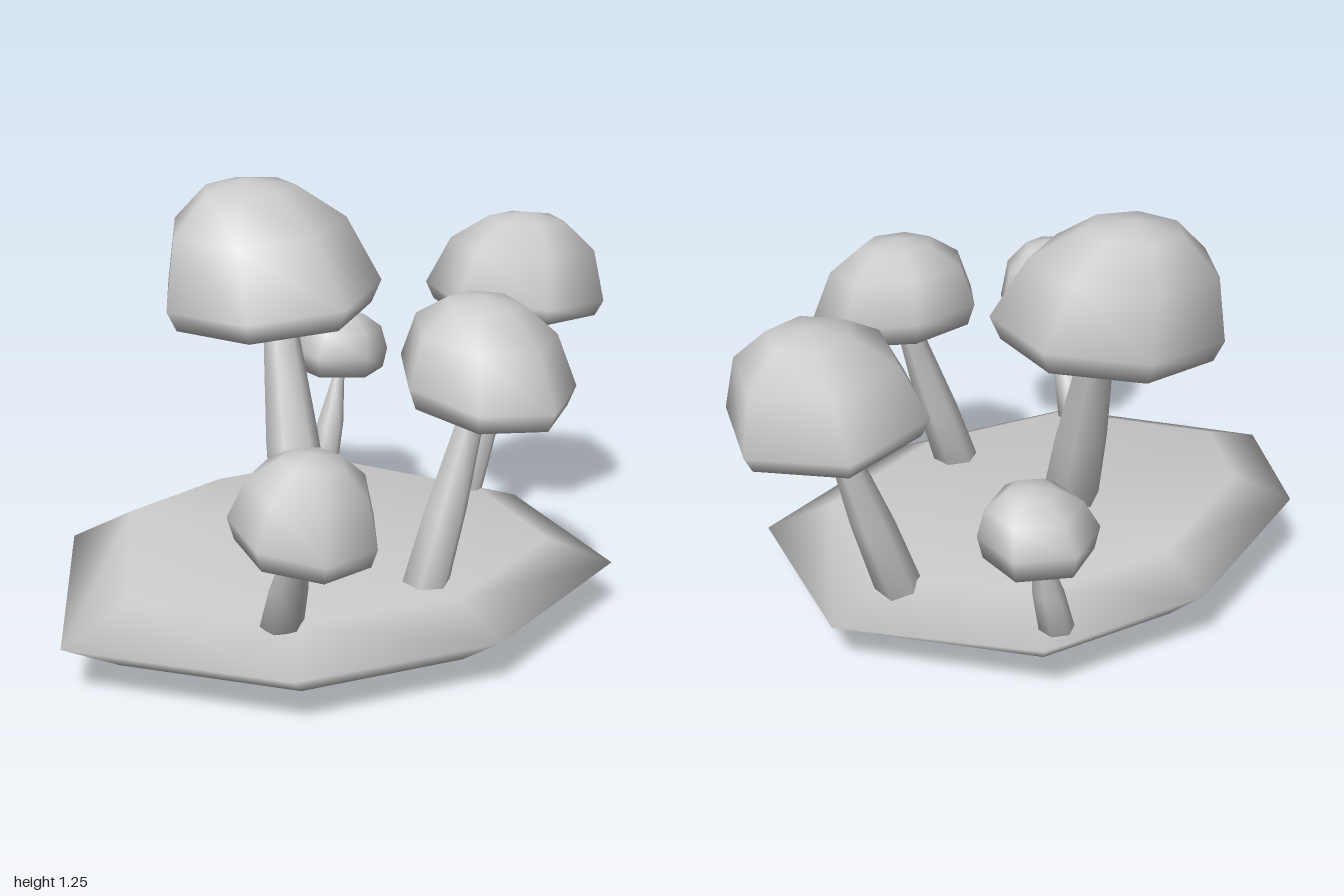
import * as THREE from 'three';

const material = new THREE.MeshStandardMaterial({ color: 0xcccccc });
const V = (x, y, z) => new THREE.Vector3(x, y, z);

// Closed skin over rings of equal length, listed bottom to top, each clockwise from above
function loft(name, bottom, rings, top) {
  const n = rings[0].length, index = [];
  const points = [bottom, ...rings.flat(), top];
  const at = (r, i) => 1 + r * n + (i % n);
  const last = rings.length - 1;
  for (let i = 0; i < n; i++) {
    index.push(0, at(0, i), at(0, i + 1));
    for (let r = 0; r < last; r++) {
      index.push(at(r, i), at(r + 1, i), at(r + 1, i + 1), at(r, i), at(r + 1, i + 1), at(r, i + 1));
    }
    index.push(at(last, i), points.length - 1, at(last, i + 1));
  }
  const geometry = new THREE.BufferGeometry().setFromPoints(points);
  geometry.setIndex(index);
  geometry.computeVertexNormals();
  const mesh = new THREE.Mesh(geometry, material);
  mesh.name = name;
  return mesh;
}

// Polygon around a centre, tilted by the slopes tiltX and tiltZ
function polygon(centre, sides, radius, phase = 0, tiltX = 0, tiltZ = 0) {
  return Array.from({ length: sides }, (_, i) => {
    const angle = phase + (i / sides) * Math.PI * 2;
    const dx = radius * Math.cos(angle), dz = radius * Math.sin(angle);
    return V(centre.x + dx, centre.y + tiltX * dx + tiltZ * dz, centre.z + dz);
  });
}

// Domed cap: tilted rim, rolled lower lip, rounded crown leaning to the apex
function cap({ centre, apex, sides, radius, phase, tiltX, tiltZ, lip }) {
  const ring = (scale, lift) =>
    polygon(centre.clone().lerp(apex, lift), sides, radius * scale, phase, tiltX * scale, tiltZ * scale);
  const lower = ring(0.91, 0).map((p) => p.setY(p.y - lip));
  const under = centre.clone().setY(centre.y - lip + 0.02);
  return loft('cap', under, [lower, ring(1, 0), ring(0.8, 0.6), ring(0.42, 0.92)], apex);
}

// Tapered six-sided stem
function stem({ foot, head, thick, thin }) {
  const ring = (t, r) => polygon(foot.clone().lerp(head, t), 6, r);
  return loft('stem', foot,
    [ring(0, thick), ring(0.4, thick * 0.88), ring(0.8, thin * 1.1), ring(1, thin)], head);
}

const mushrooms = [
  {
    name: 'tallMushroom', centre: V(-0.285, 0.935, 0.075), apex: V(-0.37, 1.25, 0.08),
    sides: 7, radius: 0.33, phase: 0, tiltX: 0, tiltZ: -0.08, lip: 0.065,
    foot: V(-0.07, 0.23, 0.14), head: V(-0.28, 0.92, 0.05), thick: 0.09, thin: 0.05,
  },
  {
    name: 'backMushroom', centre: V(-0.035, 0.83, -0.715), apex: V(-0.02, 1.08, -0.75),
    sides: 6, radius: 0.28, phase: 0.45, tiltX: 0, tiltZ: 0.09, lip: 0.05,
    foot: V(-0.05, 0.19, -0.5), head: V(-0.01, 0.82, -0.7), thick: 0.07, thin: 0.035,
  },
  {
    name: 'leftMushroom', centre: V(0.435, 0.795, -0.09), apex: V(0.41, 1.02, -0.1),
    sides: 7, radius: 0.25, phase: 0, tiltX: -0.18, tiltZ: 0, lip: 0.06,
    foot: V(0.39, 0.2, 0.1), head: V(0.42, 0.77, -0.08), thick: 0.07, thin: 0.038,
  },
  {
    name: 'frontMushroom', centre: V(0.51, 0.59, 0.64), apex: V(0.53, 0.78, 0.63),
    sides: 7, radius: 0.195, phase: 0.47, tiltX: -0.2, tiltZ: 0, lip: 0.055,
    foot: V(0.32, 0.22, 0.56), head: V(0.49, 0.57, 0.64), thick: 0.06, thin: 0.03,
  },
  {
    name: 'smallMushroom', centre: V(-0.55, 0.585, -0.442), apex: V(-0.53, 0.71, -0.45),
    sides: 6, radius: 0.16, phase: 0.12, tiltX: 0, tiltZ: 0.04, lip: 0.065,
    foot: V(-0.51, 0.22, -0.335), head: V(-0.525, 0.55, -0.43), thick: 0.05, thin: 0.02,
  },
];

// Ground slab: a sharp uneven rim, drawn in above and below
function ground() {
  const rim = [V(-0.01, 0.15, -0.72), V(0.55, 0.15, -0.53), V(0.685, 0.145, 0.1), V(0.49, 0.155, 0.67),
    V(-0.07, 0.155, 1), V(-0.52, 0.24, 0.64), V(-0.66, 0.2, 0.1), V(-0.54, 0.19, -0.41)];
  const inset = (scale, height) =>
    rim.map((p) => V(p.x * scale, height(p.y), 0.1 + (p.z - 0.1) * scale));
  const lower = inset(0.8, (y) => y * 0.5 - 0.025);
  const upper = inset(0.77, (y) => y + 0.08);
  return loft('ground', V(-0.07, 0, 0.08), [lower, rim, upper], V(-0.05, 0.255, 0.1));
}

export function createModel() {
  const model = new THREE.Group();
  model.name = 'mushroomCluster';
  model.add(ground());
  for (const mushroom of mushrooms) {
    const group = new THREE.Group();
    group.name = mushroom.name;
    group.add(stem(mushroom), cap(mushroom));
    model.add(group);
  }
  return model;
}
